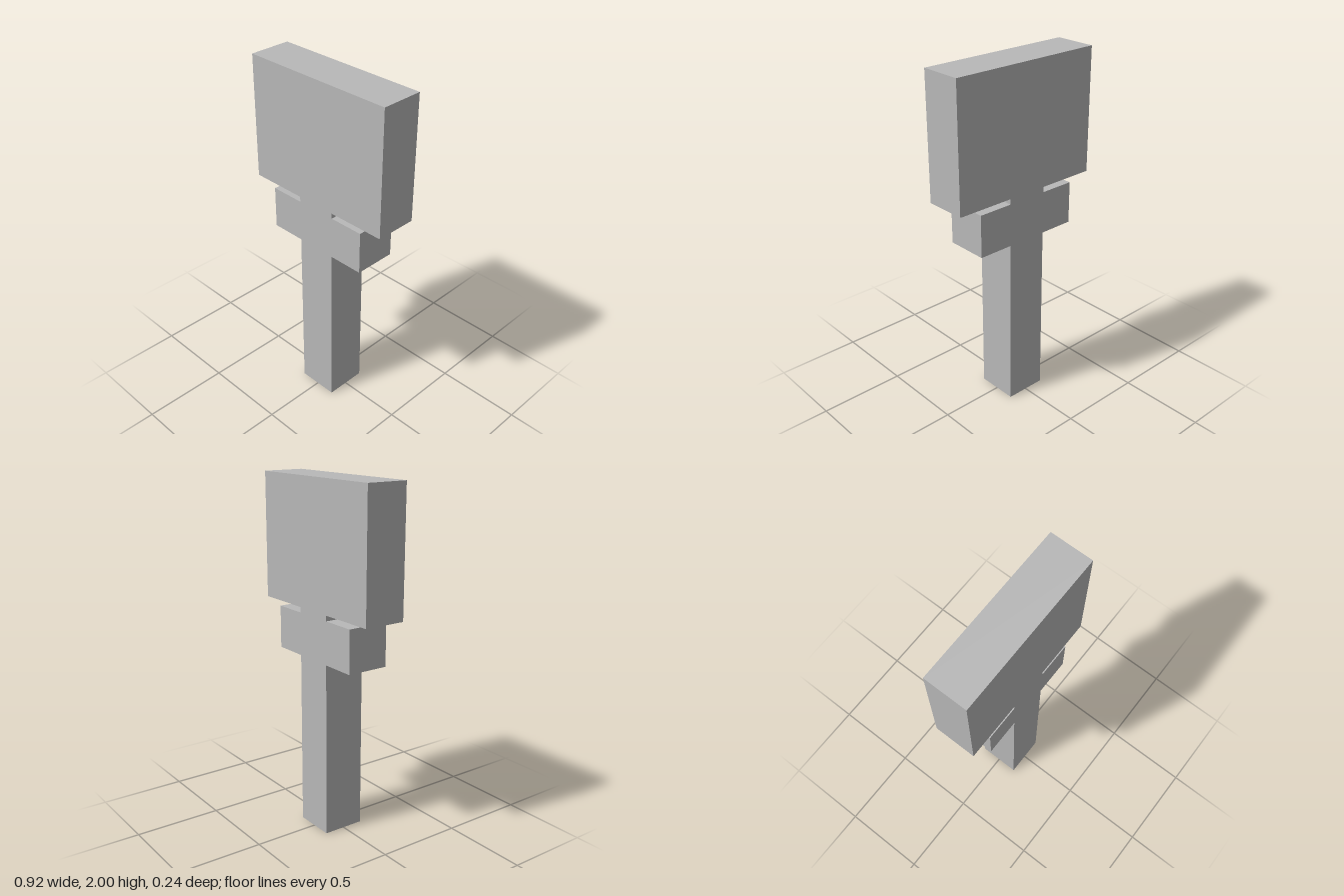
import * as THREE from 'three';

export function createModel() {
  const group = new THREE.Group();
  group.name = 'signPost';
  const grey = new THREE.MeshStandardMaterial({ color: 0xb8b8b8 });
  grey.name = 'plain grey';

  // Half outline from foot to top: post, crossbar, neck, head board
  const half = [
    [0.12, 0], [0.12, 1.01],
    [0.325, 1.01], [0.325, 1.255],
    [0.12, 1.255], [0.12, 1.286],
    [0.459, 1.286], [0.459, 2],
  ];
  const mirrored = half.map(([x, y]) => [-x, y]).reverse();
  const outline = new THREE.Shape([...half, ...mirrored].map(([x, y]) => new THREE.Vector2(x, y)));

  // One solid slab of even thickness
  const depth = 0.243;
  const geometry = new THREE.ExtrudeGeometry(outline, { depth, bevelEnabled: false });
  geometry.translate(0, 0, -depth / 2);

  const body = new THREE.Mesh(geometry, grey);
  body.name = 'postWithCrossbarAndBoard';
  group.add(body);
  return group;
}
